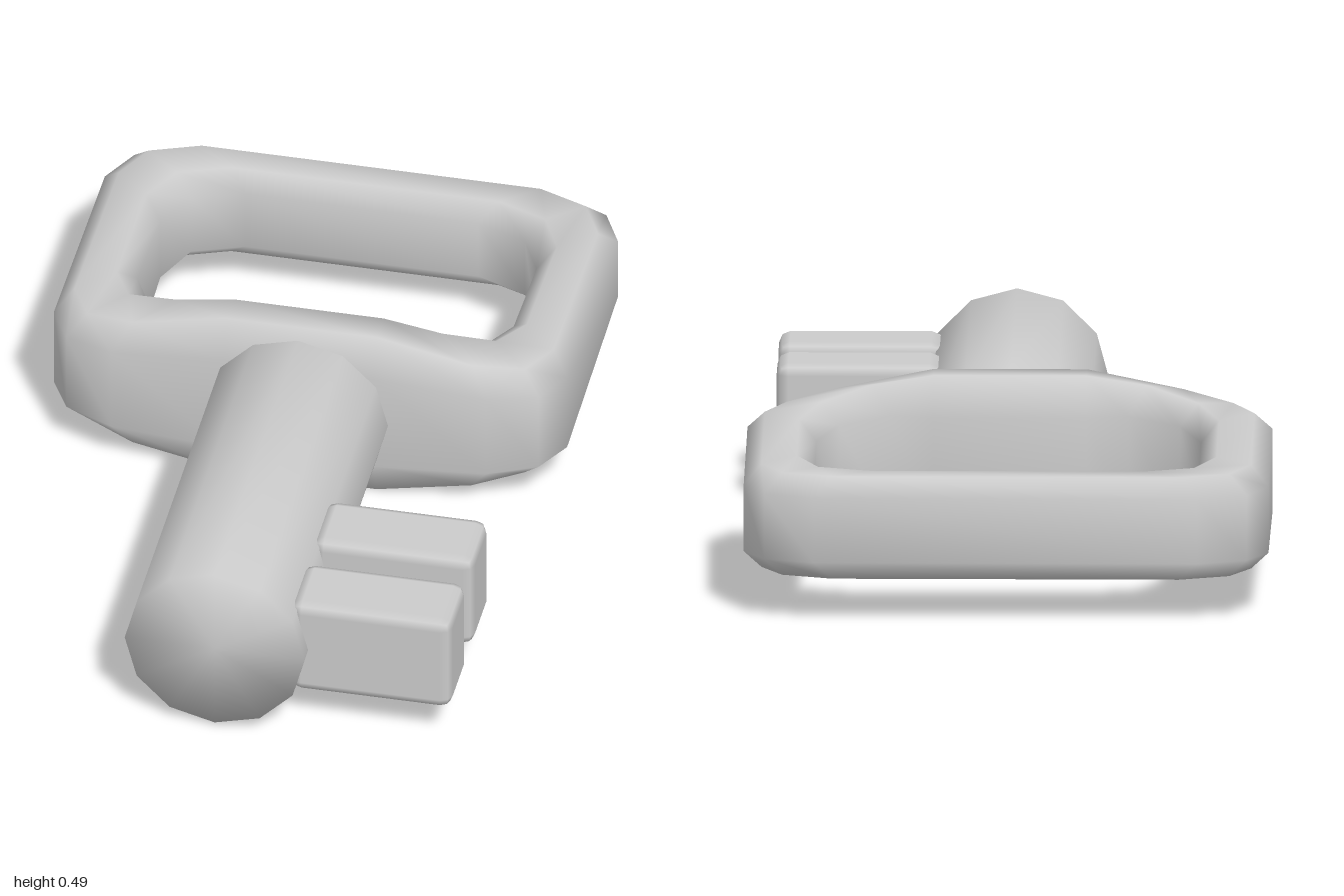
import * as THREE from 'three';
import { mergeVertices } from 'three/addons/utils/BufferGeometryUtils.js';
import { RoundedBoxGeometry } from 'three/addons/geometries/RoundedBoxGeometry.js';

const MID_Y = 0.248;
const material = new THREE.MeshStandardMaterial({ color: 0xcccccc });

function part(name, geometry) {
  const mesh = new THREE.Mesh(geometry, material);
  mesh.name = name;
  return mesh;
}

// Closed ring swept through chamfered eight-sided sections
function handleGeometry() {
  // outer x, z | inner x, z | half height outer, inner | chamfer height
  const half = [
    [0.2, -0.05, 0.2, -0.22, 0.247, 0.247, 0.105],
    [0.5, -0.05, 0.31, -0.22, 0.195, 0.222, 0.075],
    [0.63, -0.1, 0.445, -0.265, 0.168, 0.185, 0.055],
    [0.685, -0.2, 0.502, -0.39, 0.163, 0.163, 0.05],
    [0.685, -0.84, 0.502, -0.675, 0.138, 0.142, 0.05],
    [0.63, -0.95, 0.445, -0.795, 0.136, 0.136, 0.05],
    [0.5, -1, 0.31, -0.845, 0.136, 0.136, 0.05],
  ];
  const mirrored = half.map(([ox, oz, ix, ...rest]) => [-ox, oz, -ix, ...rest]).reverse();
  const stations = [...half, ...mirrored];

  const positions = [];
  const index = [];
  for (const [ox, oz, ix, iz, ho, hi, c] of stations) {
    const section = [
      [0, -(ho - c)], [0, ho - c], [0.25, ho], [0.75, hi],
      [1, hi - c], [1, -(hi - c)], [0.75, -hi], [0.25, -ho],
    ];
    for (const [t, y] of section) {
      positions.push(ox + (ix - ox) * t, MID_Y + y, oz + (iz - oz) * t);
    }
  }
  const n = stations.length;
  for (let i = 0; i < n; i++) {
    for (let j = 0; j < 8; j++) {
      const k = (j + 1) % 8;
      const next = (i + 1) % n;
      const a = i * 8 + j, b = next * 8 + j, c = next * 8 + k, d = i * 8 + k;
      index.push(a, b, d, b, c, d);
    }
  }
  const geometry = new THREE.BufferGeometry();
  geometry.setAttribute('position', new THREE.Float32BufferAttribute(positions, 3));
  geometry.setIndex(index);
  geometry.computeVertexNormals();
  return geometry;
}

// Twelve-sided rod with shading blended over its flat ends
function shaftGeometry() {
  let geometry = new THREE.CylinderGeometry(0.24, 0.24, 1.045, 12);
  geometry.deleteAttribute('normal');
  geometry.deleteAttribute('uv');
  geometry = mergeVertices(geometry, 1e-4);
  geometry.computeVertexNormals();
  return geometry.rotateX(Math.PI / 2).translate(0, MID_Y, 0.4775);
}

export function createModel() {
  const model = new THREE.Group();
  model.name = 'key';
  model.add(part('handle', handleGeometry()));
  model.add(part('shaft', shaftGeometry()));

  // Two chamfered teeth on the left of the shaft
  [0.575, 0.855].forEach((z, i) => {
    const tooth = part(i ? 'frontTooth' : 'rearTooth', new RoundedBoxGeometry(0.43, 0.28, 0.2, 1, 0.03));
    tooth.position.set(0.405, MID_Y, z);
    model.add(tooth);
  });
  return model;
}
